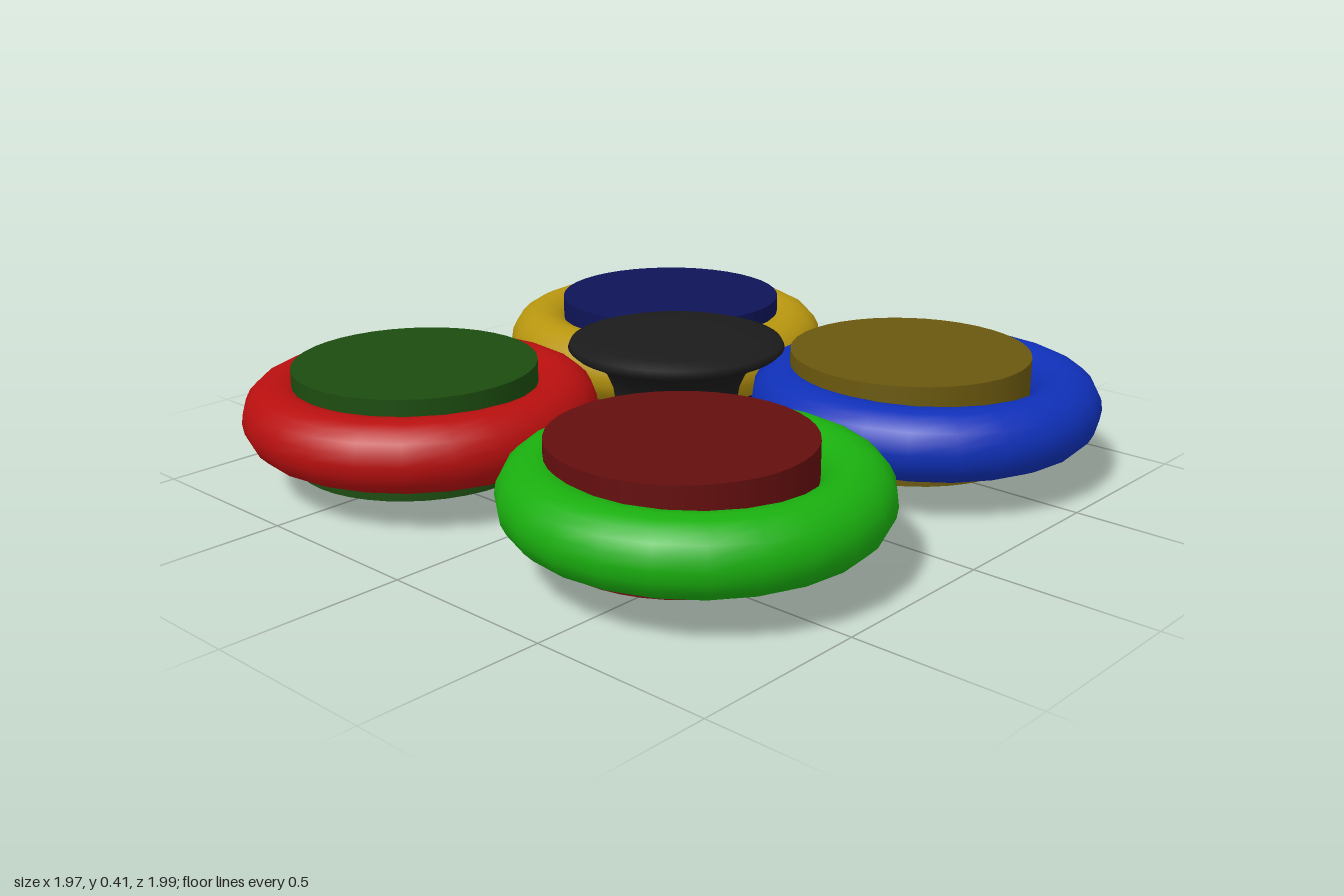
import * as THREE from 'three';

const MID = 0.21; // height of the spinner's middle plane

function addPart(group, name, geometry, color, x, z) {
  const mesh = new THREE.Mesh(geometry, new THREE.MeshStandardMaterial({ color }));
  mesh.name = name;
  mesh.position.set(x, MID, z);
  group.add(mesh);
}

export function createModel() {
  const model = new THREE.Group();
  model.name = 'fourLobeSpinner';

  // Central hub: domed caps flaring out from a narrow waist, mirrored about the middle
  const upper = [[0.17, 0], [0.178, 0.05], [0.2, 0.1], [0.25, 0.138], [0.288, 0.152],
    [0.302, 0.165], [0.295, 0.18], [0.25, 0.194], [0.15, 0.203], [0, 0.207]];
  const lower = upper.slice(1).reverse().map(([r, y]) => [r, -y]);
  const profile = [...lower, ...upper].map(([r, y]) => new THREE.Vector2(r, y));
  addPart(model, 'hub', new THREE.LatheGeometry(profile, 40), 0x1b1b1b, -0.008, -0.013);

  // Lobes: a round ring with a weight disc set through it
  const ringGeometry = new THREE.TorusGeometry(0.392, 0.099, 20, 24).rotateX(Math.PI / 2);
  const discGeometry = new THREE.CylinderGeometry(0.337, 0.337, 0.28, 40);
  const lobes = [
    { name: 'backRight', ring: [-0.48, -0.48], disc: [-0.463, -0.482], ringColor: 0xb8960f, discColor: 0x0e1458 },
    { name: 'backLeft', ring: [0.49, -0.51], disc: [0.455, -0.482], ringColor: 0x0f30b8, discColor: 0x6a580e },
    { name: 'frontRight', ring: [-0.497, 0.502], disc: [-0.488, 0.527], ringColor: 0xb80f0f, discColor: 0x1c4c10 },
    { name: 'frontLeft', ring: [0.49, 0.457], disc: [0.455, 0.472], ringColor: 0x1aaf0f, discColor: 0x640e0e },
  ];
  for (const lobe of lobes) {
    const group = new THREE.Group();
    group.name = lobe.name + 'Lobe';
    addPart(group, lobe.name + 'Ring', ringGeometry, lobe.ringColor, ...lobe.ring);
    addPart(group, lobe.name + 'Disc', discGeometry, lobe.discColor, ...lobe.disc);
    model.add(group);
  }
  return model;
}
